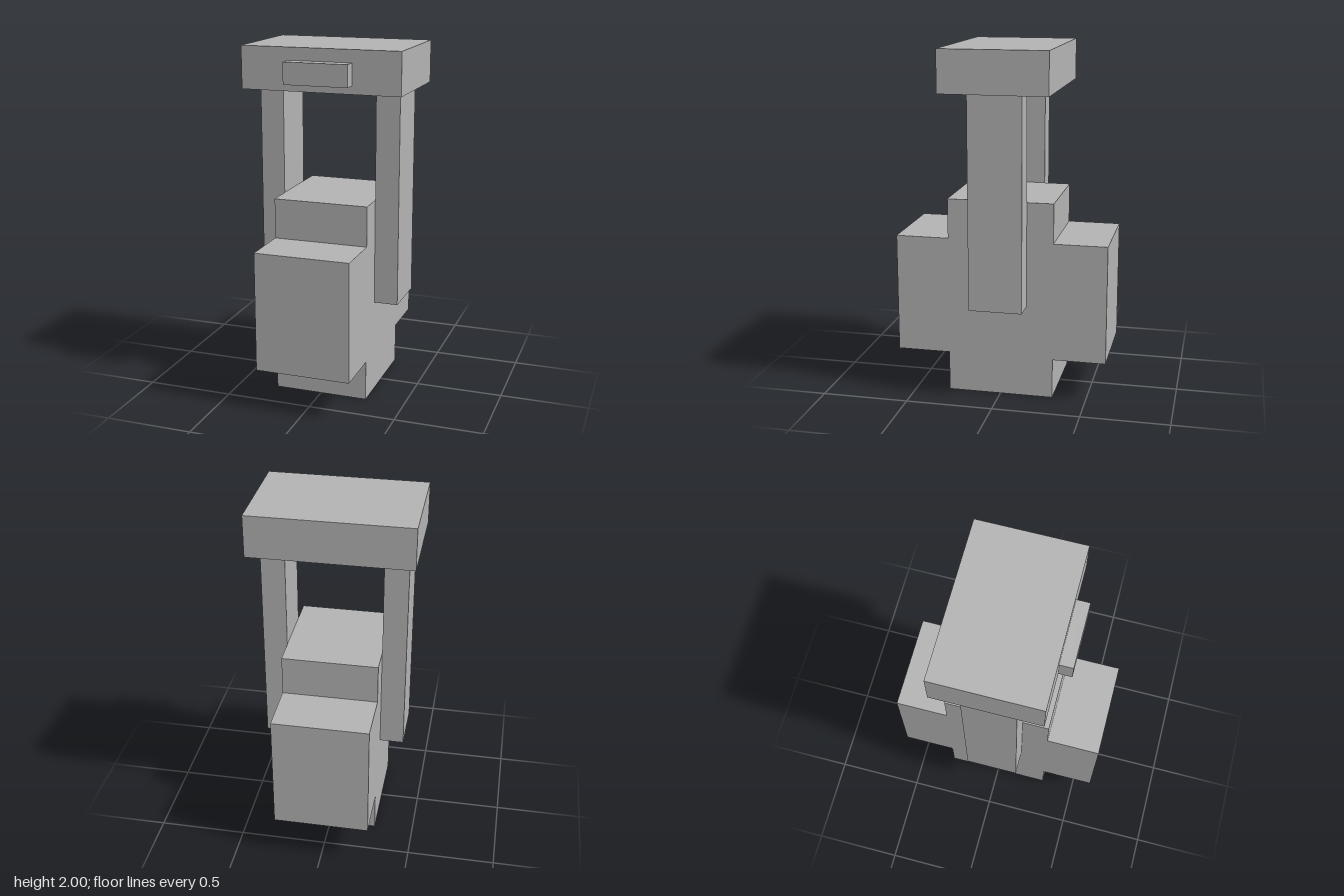
import * as THREE from 'three';

export function createModel() {
  const model = new THREE.Group();
  const grey = new THREE.MeshStandardMaterial({ color: 0xb2b2b2 });
  grey.name = 'grey';

  const add = (name, geometry, x, y, z) => {
    const mesh = new THREE.Mesh(geometry, grey);
    mesh.name = name;
    mesh.position.set(x, y, z);
    model.add(mesh);
  };

  // Wheel: a blocky cross profile, extruded across its width
  const halfWidth = 0.273, inner = 0.305, outer = 0.61;
  const low = 0.23, high = 0.917, top = 1.147;
  const right = [[inner, 0], [inner, low], [outer, low], [outer, high], [inner, high], [inner, top]];
  const left = right.map(([z, y]) => [-z, y]).reverse();
  const profile = new THREE.Shape([...right, ...left].map(([z, y]) => new THREE.Vector2(z, y)));
  const wheel = new THREE.ExtrudeGeometry(profile, { depth: halfWidth * 2, bevelEnabled: false });
  wheel.translate(0, 0, -halfWidth).rotateY(Math.PI / 2);
  add('wheel', wheel, 0, 0, 0);

  // Fork arms on both sides, from the hub up to the head
  for (const [name, side] of [['leftForkArm', 1], ['rightForkArm', -1]]) {
    add(name, new THREE.BoxGeometry(0.137, 1.22, 0.305), side * 0.3415, 1.15, 0);
  }

  // Head block with a small front plate
  add('head', new THREE.BoxGeometry(0.915, 0.24, 0.61), 0, 1.88, 0);
  add('frontPlate', new THREE.BoxGeometry(0.366, 0.123, 0.075), 0, 1.867, 0.3425);

  return model;
}
